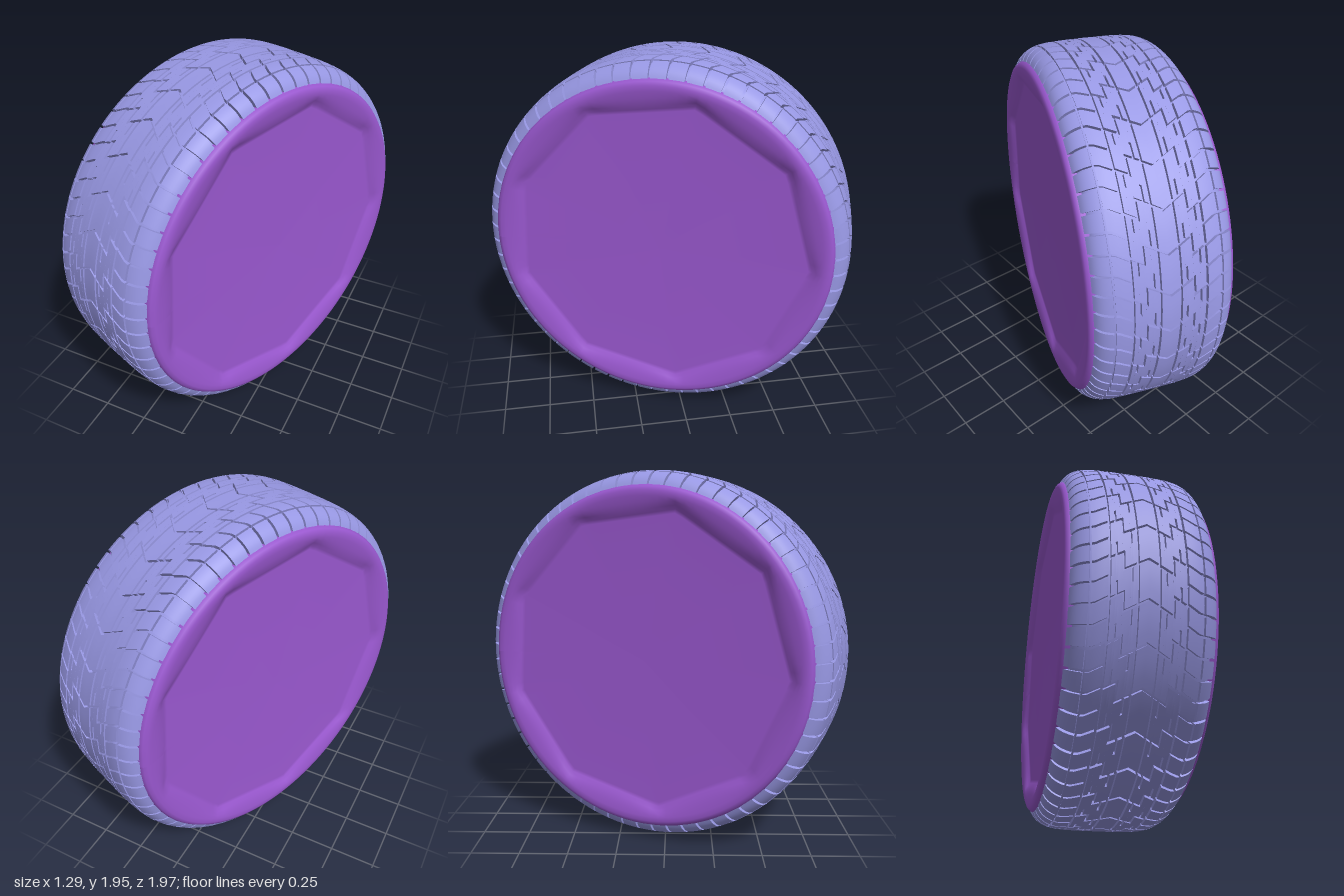
import * as THREE from 'three';
import { mergeGeometries, toCreasedNormals } from 'three/addons/utils/BufferGeometryUtils.js';

const PITCHES = 32;
const PITCH = (Math.PI * 2) / PITCHES;
const GROOVE = 0.02;

// Half tyre section as (radius, offset along the axle), mirrored across the centre
const half = [[0.975, 0], [0.974, 0.12], [0.97, 0.2], [0.96, 0.255], [0.94, 0.295], [0.915, 0.32], [0.885, 0.335]];
const section = new THREE.SplineCurve([
  ...half.slice(1).reverse().map(([r, h]) => new THREE.Vector2(r, -h)),
  ...half.map(([r, h]) => new THREE.Vector2(r, h)),
]);
const LENGTH = section.getLength();
const EDGE = LENGTH / 2;

// Point of the section at arc distance t from the centre, sunk by depth
function sectionPoint(t, depth) {
  const u = THREE.MathUtils.clamp(t / LENGTH + 0.5, 0, 1);
  const p = section.getPointAt(u);
  const d = section.getTangentAt(u);
  return new THREE.Vector2(p.x - d.y * depth, p.y + d.x * depth);
}

// Chevron sweep of the tread, levelling off on the shoulder
const sweep = (t) => -3 * Math.min(Math.abs(t), 0.24);

function wheelPoint(t, s, depth) {
  const p = sectionPoint(t, depth);
  const phi = (s + sweep(t)) * PITCH;
  return [p.y, p.x * Math.cos(phi), -p.x * Math.sin(phi)];
}

// Raised block lofted through stations [t, sStart, sEnd], s in pitches
function block(stations, cols = 3) {
  const rings = stations.map(([t, s0, s1]) => {
    const ring = [wheelPoint(t, s0, GROOVE + 0.004)];
    for (let i = 0; i <= cols; i++) ring.push(wheelPoint(t, s0 + ((s1 - s0) * i) / cols, 0));
    ring.push(wheelPoint(t, s1, GROOVE + 0.004));
    return ring;
  });
  const pos = [];
  const tri = (a, b, c) => pos.push(...a, ...b, ...c);
  const n = cols + 3;
  for (let i = 0; i < rings.length - 1; i++) {
    for (let j = 0; j < n - 1; j++) {
      const [a, b] = [rings[i], rings[i + 1]];
      tri(a[j], b[j], b[j + 1]);
      tri(a[j], b[j + 1], a[j + 1]);
    }
  }
  const first = rings[0], last = rings[rings.length - 1];
  for (let j = 1; j < n - 1; j++) {
    tri(first[0], first[j], first[j + 1]);
    tri(last[0], last[j + 1], last[j]);
  }
  const geo = new THREE.BufferGeometry();
  geo.setAttribute('position', new THREE.Float32BufferAttribute(pos, 3));
  return toCreasedNormals(geo, 0.6);
}

const mirror = (stations) => stations.map(([t, a, b]) => [-t, a, b]).reverse();

// Straight block from t0 to t1 with extra stations to follow the curve
function strip(t0, t1, s0, s1, steps) {
  return Array.from({ length: steps + 1 }, (_, i) => [t0 + ((t1 - t0) * i) / steps, s0, s1]);
}

function repeatAround(geos) {
  const one = mergeGeometries(geos);
  return mergeGeometries(Array.from({ length: PITCHES }, (_, i) => one.clone().rotateX(i * PITCH)));
}

// Rim cover: rounded lip sinking into a shallow nine-sided dish
function coverGeometry() {
  const SIDES = 9, STEP = (Math.PI * 2) / SIDES, TURN = 0.24;
  // radius, height, amount of polygon shaping
  const rings = [[0.89, 0.3, 0], [0.892, 0.33, 0], [0.88, 0.347, 0], [0.862, 0.355, 0], [0.84, 0.354, 0.1],
    [0.825, 0.348, 0.5], [0.81, 0.338, 1], [0.79, 0.325, 1], [0.77, 0.32, 1], [0.4, 0.315, 1], [0.001, 0.312, 0]];
  const geo = new THREE.LatheGeometry(rings.map(([r, h]) => new THREE.Vector2(r, h)), 108);
  geo.rotateZ(-Math.PI / 2);
  const p = geo.attributes.position;
  for (let i = 0; i < p.count; i++) {
    const phi = Math.atan2(-p.getZ(i), p.getY(i)) - TURN;
    const local = phi - STEP * Math.floor(phi / STEP) - STEP / 2;
    const polygon = Math.cos(STEP / 2) / Math.cos(local);
    const k = 1 + (polygon - 1) * rings[i % rings.length][2];
    p.setY(i, p.getY(i) * k);
    p.setZ(i, p.getZ(i) * k);
  }
  geo.computeVertexNormals();
  return geo;
}

export function createModel() {
  const model = new THREE.Group();
  const wheel = new THREE.Group();
  wheel.name = 'wheel';
  wheel.position.y = 0.975;
  wheel.rotation.y = -0.373;
  model.add(wheel);

  const rubber = new THREE.MeshStandardMaterial({ color: 0x9898e4 });
  const purple = new THREE.MeshStandardMaterial({ color: 0x9a58d0 });
  const add = (name, geo, mat) => {
    const mesh = new THREE.Mesh(geo, mat);
    mesh.name = name;
    wheel.add(mesh);
    return mesh;
  };

  // Tyre body at groove depth
  const body = Array.from({ length: 41 }, (_, i) => sectionPoint((i / 20 - 1) * EDGE, GROOVE));
  add('tyreBody', new THREE.LatheGeometry(body, 128).rotateZ(-Math.PI / 2), rubber);

  // Chevron blocks down the middle
  const g = 0.035;
  add('centreChevrons', repeatAround([
    block([[-0.043, g, 1 - g], [0, g, 1 - g], [0.043, g, 1 - g]], 4),
  ]), rubber);

  // Hooked blocks with a stepped outline and a slit
  const hook = [[0.054, g, 1 - g], [0.072, g, 1 - g], [0.072, g, 0.6], [0.082, g, 0.6], [0.082, g, 1 - g],
    [0.107, g, 1 - g], [0.107, 0.45 + g, 1 - g], [0.117, 0.45 + g, 1 - g], [0.117, 0.45 + g, 1.45 - g],
    [0.138, 0.45 + g, 1.45 - g], [0.138, 0.8, 1.45 - g], [0.148, 0.8, 1.45 - g], [0.148, 0.45 + g, 1.45 - g],
    [0.168, 0.45 + g, 1.45 - g]];
  add('hookBlocks', repeatAround([block(hook), block(mirror(hook))]), rubber);

  // Slanted ribs beside them and lugs over the shoulders
  const ribs = [], lugs = [];
  for (const s of [0, 0.5]) {
    const rib = strip(0.179, 0.252, s + g, s + 0.5 - g, 4);
    const lug = strip(0.262, EDGE, s + g, s + 0.5 - g, 8);
    ribs.push(block(rib, 2), block(mirror(rib), 2));
    lugs.push(block(lug, 2), block(mirror(lug), 2));
  }
  add('ribBlocks', repeatAround(ribs), rubber);
  add('shoulderLugs', repeatAround(lugs), rubber);

  // Rim covers on both sides
  const cover = coverGeometry();
  add('leftRimCover', cover, purple);
  add('rightRimCover', cover, purple).rotation.y = Math.PI;

  return model;
}
